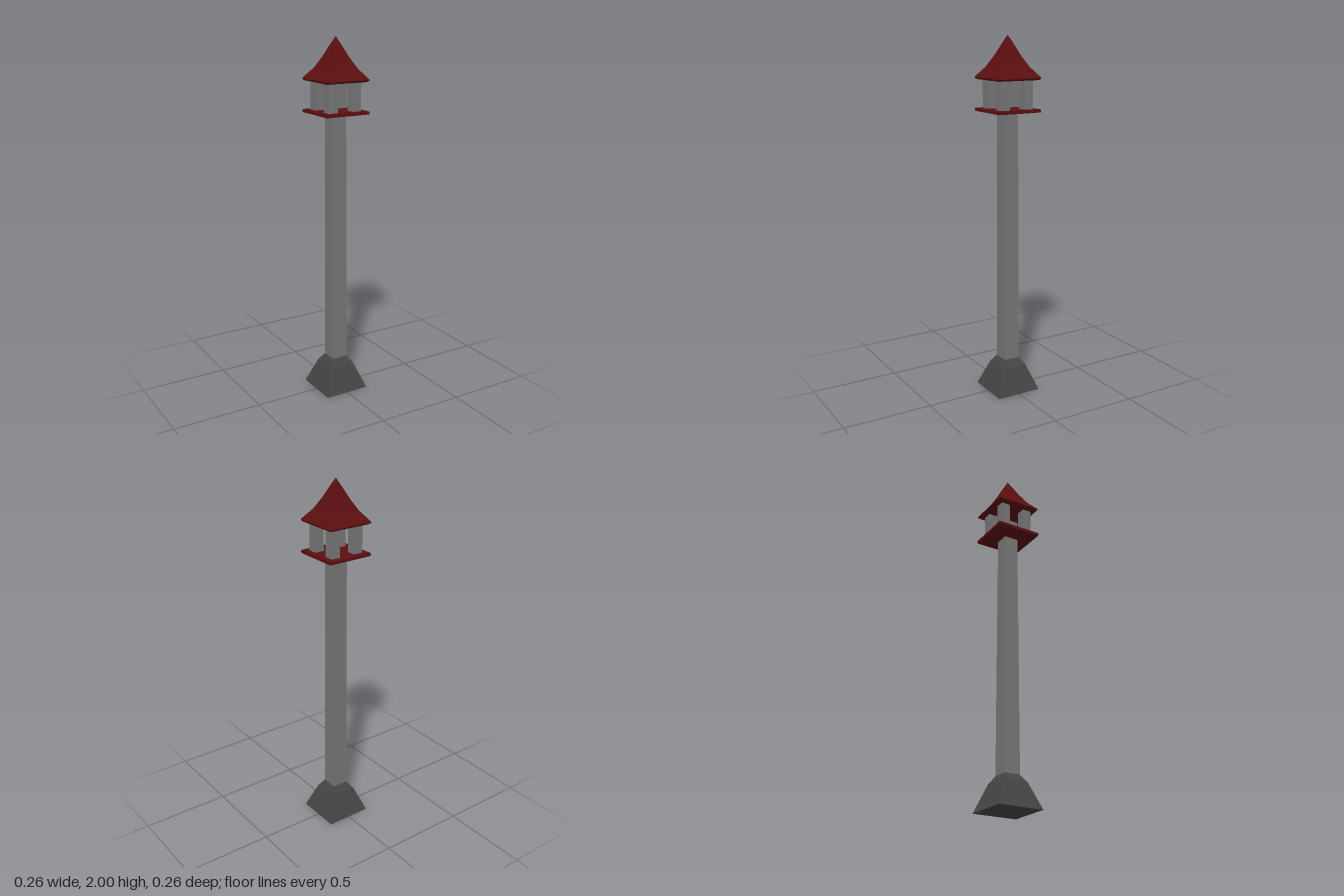
import * as THREE from 'three';

const material = (name, color) => {
  const m = new THREE.MeshStandardMaterial({ color, flatShading: true });
  m.name = name;
  return m;
};

// Square solid of revolution: profile of [half width, height] from bottom to top
function squareLoft(name, profile, mat) {
  const points = profile.map(([half, y]) => new THREE.Vector2(half * Math.SQRT2, y));
  const geometry = new THREE.LatheGeometry(points, 4, Math.PI / 4).toNonIndexed();
  geometry.computeVertexNormals();
  const mesh = new THREE.Mesh(geometry, mat);
  mesh.name = name;
  return mesh;
}

export function createModel() {
  const stone = material('grey stone', 0x777777);
  const darkStone = material('dark stone', 0x454545);
  const red = material('dark red', 0x5c0f10);

  const tower = new THREE.Group();
  tower.name = 'tower';

  // Flared foot and slightly tapering shaft
  tower.add(squareLoft('base', [[0, 0], [0.13, 0], [0.074, 0.145], [0.046, 0.187], [0, 0.187]], darkStone));
  tower.add(squareLoft('shaft', [[0, 0.18], [0.046, 0.18], [0.041, 1.6], [0, 1.6]], stone));

  // Platform with a shallow sloping underside
  tower.add(squareLoft('platform', [[0, 1.584], [0.041, 1.585], [0.13, 1.597], [0.13, 1.613], [0, 1.613]], red));

  // Four corner posts
  const posts = new THREE.Group();
  posts.name = 'posts';
  const postGeometry = new THREE.BoxGeometry(0.053, 0.17, 0.053);
  for (const x of [-1, 1]) for (const z of [-1, 1]) {
    const post = new THREE.Mesh(postGeometry, stone);
    post.name = 'post';
    post.position.set(x * 0.0715, 1.692, z * 0.0715);
    posts.add(post);
  }
  tower.add(posts);

  // Concave pyramid roof
  tower.add(squareLoft('roof', [
    [0, 1.767], [0.122, 1.767], [0.13, 1.776], [0.128, 1.782],
    [0.084, 1.836], [0.05, 1.897], [0.022, 1.957], [0, 2],
  ], red));

  return tower;
}
